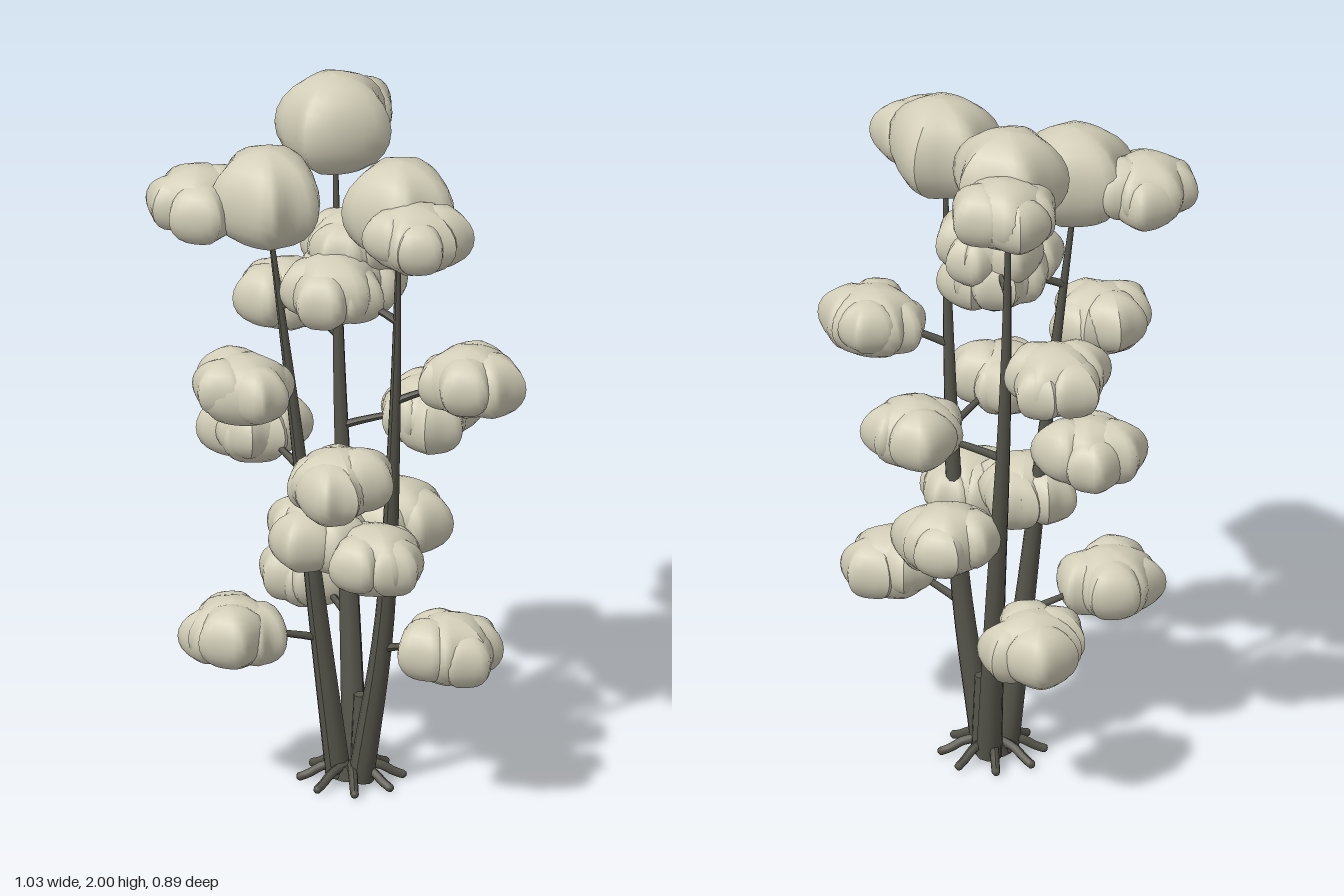
import * as THREE from 'three';

const leafMat = new THREE.MeshStandardMaterial({ color: 0xd2ceb8 });
const barkMat = new THREE.MeshStandardMaterial({ color: 0x55544a });

let seed = 7;
const rand = () => (seed = (seed * 16807) % 2147483647) / 2147483647;
const V = (p) => new THREE.Vector3(...p);

// Squashed ball whose outline, seen from above, is a star with tips at the given angles (degrees)
function ridgedBall(name, radius, height, tips, depth) {
  const steps = 6;
  const geo = new THREE.SphereGeometry(1, tips.length * steps, 12);
  const pos = geo.attributes.position;
  const columns = tips.length * steps + 1;
  for (let i = 0; i < pos.count; i++) {
    // Columns run against the angle so that faces point outward
    const column = columns - 1 - (i % columns);
    const tip = Math.floor(column / steps) % tips.length;
    const t = (column % steps) / steps;
    const next = tip + 1 < tips.length ? tips[tip + 1] : tips[0] + 360;
    const a = THREE.MathUtils.degToRad(tips[tip] + (next - tips[tip]) * t);
    const y = pos.getY(i), flat = Math.sqrt(Math.max(0, 1 - y * y));
    const r = radius * flat * (1 - depth * flat * Math.sin(Math.PI * t));
    pos.setXYZ(i, Math.cos(a) * r, y * height, Math.sin(a) * r);
  }
  geo.computeVertexNormals();
  const mesh = new THREE.Mesh(geo, leafMat);
  mesh.name = name;
  return mesh;
}

// Five unevenly spaced tips
function randomTips() {
  const start = rand() * 360;
  return [0, 1, 2, 3, 4].map((k) => start + k * 72 + (rand() - 0.5) * 24);
}

// Round tube along a curve, narrowing from r0 to r1
function taperedTube(name, curve, r0, r1, steps, sides) {
  const geo = new THREE.TubeGeometry(curve, steps, 1, sides);
  const pos = geo.attributes.position;
  const p = new THREE.Vector3(), c = new THREE.Vector3();
  for (let i = 0; i <= steps; i++) {
    curve.getPointAt(i / steps, c);
    const r = r0 + (r1 - r0) * (i / steps);
    for (let j = 0; j <= sides; j++) {
      const n = i * (sides + 1) + j;
      p.fromBufferAttribute(pos, n).sub(c).multiplyScalar(r).add(c);
      pos.setXYZ(n, p.x, p.y, p.z);
    }
  }
  geo.computeVertexNormals();
  const mesh = new THREE.Mesh(geo, barkMat);
  mesh.name = name;
  return mesh;
}

// Each stem: its path, the crown on top, and the leaf clusters it carries
const stems = [
  {
    path: [[0.04, 0.02, 0.02], [0.12, 0.5, 0.035], [0.17, 1.1, 0.07], [0.2, 1.7, 0.1]],
    crown: [0.208, 1.762, 0.1],
    tips: [-90, 0, 57, 143, 208],
    clusters: [[0.34, 0.48, 0.07], [0.15, 0.73, 0.14], [0.11, 1.0, 0.285],
      [0.36, 1.245, -0.01], [0.0, 1.49, 0.1], [0.31, 1.735, 0.21]],
  },
  {
    path: [[-0.01, 0.02, -0.04], [-0.06, 0.5, -0.1], [-0.11, 1.1, -0.14], [-0.14, 1.8, -0.17]],
    crown: [-0.137, 1.857, -0.165],
    tips: [-62, -5, 93, 155, 224],
    clusters: [[-0.25, 0.49, -0.23], [0.04, 0.73, -0.19], [0.13, 1.045, -0.21],
      [-0.31, 1.305, -0.21], [-0.01, 1.57, -0.04], [-0.2, 1.83, -0.31]],
  },
  {
    path: [[-0.03, 0.02, 0.02], [-0.075, 0.5, 0.055], [-0.125, 1.1, 0.1], [-0.18, 1.7, 0.15]],
    crown: [-0.178, 1.742, 0.15],
    tips: [-87, 5, 59, 137, 197],
    clusters: [[-0.24, 0.48, 0.24], [-0.04, 0.77, 0.12], [-0.3, 0.99, 0.0],
      [-0.17, 1.235, 0.31], [-0.02, 1.48, -0.02], [-0.365, 1.72, 0.21]],
  },
];

// One large squashed ball with smaller ones pressed around it
function leafCluster(center) {
  const group = new THREE.Group();
  group.name = 'leafCluster';
  group.position.copy(V(center));
  group.add(ridgedBall('leafBall', 0.135, 0.098, randomTips(), 0.2));
  const start = rand() * Math.PI * 2;
  const count = 4;
  for (let i = 0; i < count; i++) {
    const a = start + i * Math.PI * 2 / count + (rand() - 0.5) * 0.5;
    const r = 0.088 + rand() * 0.017;
    const ball = ridgedBall('leafBall', r, r * 0.86, randomTips(), 0.2);
    ball.position.set(Math.cos(a) * 0.062, (rand() - 0.5) * 0.03, Math.sin(a) * 0.062);
    group.add(ball);
  }
  return group;
}

function buildStem({ path, crown, tips, clusters }) {
  const group = new THREE.Group();
  group.name = 'stem';
  const curve = new THREE.CatmullRomCurve3(path.map(V));
  group.add(taperedTube('trunk', curve, 0.036, 0.006, 20, 10));

  const top = ridgedBall('crown', 0.167, 0.143, tips, 0.21);
  top.position.copy(V(crown));
  group.add(top);

  for (const c of clusters) {
    // Branch leaves the stem a little below its cluster and bends upward
    const end = V(c);
    const from = curve.getPointAt((c[1] - 0.07) / path[3][1]);
    const mid = from.clone().lerp(end, 0.5);
    mid.y += 0.012;
    group.add(taperedTube('branch', new THREE.QuadraticBezierCurve3(from, mid, end), 0.012, 0.007, 5, 6));
    group.add(leafCluster(c));
  }
  return group;
}

export function createModel() {
  const model = new THREE.Group();
  model.name = 'tree';
  stems.forEach((s) => model.add(buildStem(s)));

  // Cut stump between the stems
  const stump = new THREE.Mesh(new THREE.CylinderGeometry(0.022, 0.032, 0.23, 10), barkMat);
  stump.name = 'stump';
  stump.position.set(0.018, 0.133, -0.025);
  model.add(stump);

  // Base where the stems join
  const base = new THREE.Mesh(new THREE.CylinderGeometry(0.05, 0.055, 0.04, 12), barkMat);
  base.name = 'base';
  base.position.y = 0.035;
  model.add(base);

  // Roots spreading over the ground
  const rootCount = 8;
  for (let i = 0; i < rootCount; i++) {
    const a = (i + 0.3) * Math.PI * 2 / rootCount;
    const at = (r, y) => new THREE.Vector3(Math.cos(a) * r, y, Math.sin(a) * r);
    const curve = new THREE.CatmullRomCurve3([at(0.02, 0.055), at(0.08, 0.045), at(0.115, 0.025), at(0.14, 0.015)]);
    model.add(taperedTube('root', curve, 0.014, 0.012, 8, 7));
    const tip = new THREE.Mesh(new THREE.SphereGeometry(0.012, 7, 6), barkMat);
    tip.name = 'rootTip';
    tip.position.copy(at(0.14, 0.015));
    model.add(tip);
  }
  return model;
}
